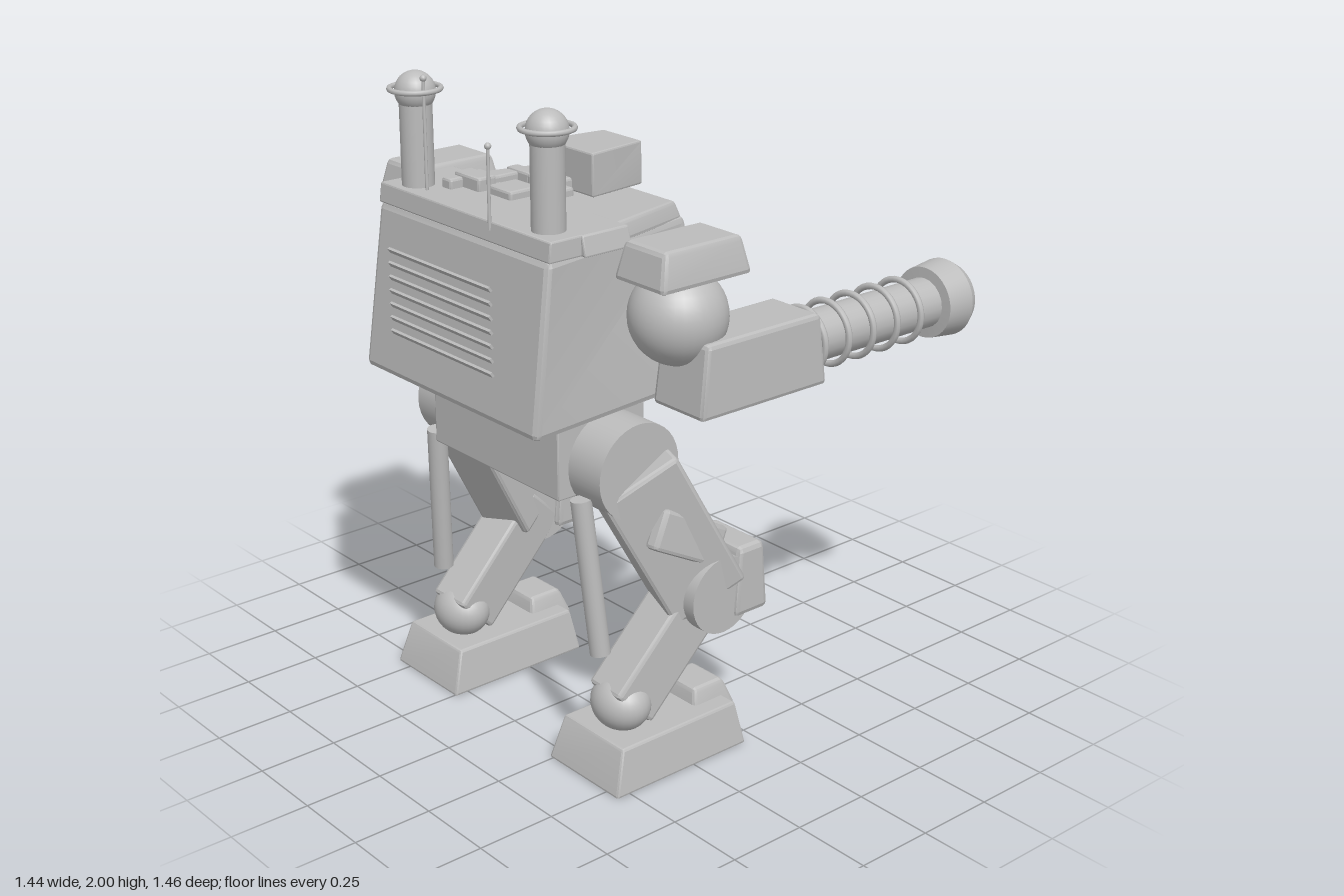
import * as THREE from 'three';
import { toCreasedNormals } from 'three/addons/utils/BufferGeometryUtils.js';
import { RoundedBoxGeometry } from 'three/addons/geometries/RoundedBoxGeometry.js';

const grey = new THREE.MeshStandardMaterial({ color: 0xbcbcbc });
grey.name = 'plain grey';

export function createModel() {
  const root = new THREE.Group();
  root.name = 'walkerRobot';

  const add = (name, geo, x = 0, y = 0, z = 0) => {
    const m = new THREE.Mesh(geo, grey);
    m.name = name;
    m.position.set(x, y, z);
    root.add(m);
    return m;
  };

  // Bevelled block between two levels; each end is [half width back, half width front, z back, z front]
  const block = (name, cx, y0, y1, bot, top, bevel = 0.012) => {
    const w = 2 * Math.max(...bot.slice(0, 2)), h = y1 - y0, d = bot[3] - bot[2];
    const g = new RoundedBoxGeometry(w, h, d, 1, Math.min(bevel, h / 3, w / 3, d / 3));
    const p = g.attributes.position, mix = THREE.MathUtils.lerp;
    for (let i = 0; i < p.count; i++) {
      const u = p.getX(i) / w * 2, v = p.getY(i) / h + 0.5, t = p.getZ(i) / d + 0.5;
      const e = bot.map((b, k) => mix(b, top[k], v));
      p.setXYZ(i, cx + u * mix(e[0], e[1], t), mix(y0, y1, v), mix(e[2], e[3], t));
    }
    return add(name, toCreasedNormals(g, 0.3));
  };
  const cuboid = (name, x0, x1, y0, y1, z0, z1, bevel) => {
    const e = [(x1 - x0) / 2, (x1 - x0) / 2, z0, z1];
    return block(name, (x0 + x1) / 2, y0, y1, e, e, bevel);
  };

  // Part stretched along the line from a to b
  const between = (mesh, a, b) => {
    const A = new THREE.Vector3(...a), B = new THREE.Vector3(...b);
    mesh.position.copy(A).add(B).multiplyScalar(0.5);
    mesh.quaternion.setFromUnitVectors(new THREE.Vector3(0, 1, 0), B.sub(A).normalize());
  };
  const beam = (name, a, b, w, d) => {
    const len = new THREE.Vector3(...a).distanceTo(new THREE.Vector3(...b));
    between(add(name, toCreasedNormals(new RoundedBoxGeometry(w, len, d, 1, 0.012), 0.3)), a, b);
  };
  const rod = (name, a, b, r) => {
    const len = new THREE.Vector3(...a).distanceTo(new THREE.Vector3(...b));
    between(add(name, new THREE.CylinderGeometry(r, r, len, 20)), a, b);
  };

  // Torso with its roof slab, rear hatch and handle
  block('torso', 0, 1.11, 1.61, [0.345, 0.415, 0.01, 0.715], [0.295, 0.4, 0.075, 0.65], 0.02);
  block('roofSlab', 0, 1.605, 1.665, [0.42, 0.42, 0.375, 0.54], [0.405, 0.405, 0.378, 0.54], 0.005);
  block('roofFront', 0, 1.605, 1.665, [0.402, 0.402, 0.5, 0.65], [0.4, 0.4, 0.5, 0.643], 0.005);
  block('roofRear', 0, 1.6, 1.655, [0.29, 0.37, 0.08, 0.4], [0.28, 0.355, 0.1, 0.4], 0.01);
  const hatch = block('rearHatch', 0, 1.11, 1.42, [0.255, 0.32, -0.118, 0.1], [0.235, 0.29, -0.075, 0.1], 0.025);
  hatch.name = 'rearHatch';
  const handle = add('rearHandle', toCreasedNormals(new RoundedBoxGeometry(0.33, 0.085, 0.025, 1, 0.008), 0.3), -0.005, 1.515, 0.03);
  handle.rotation.x = 0.42;

  // Front vent slats
  for (let i = 0; i < 7; i++) {
    const slat = add('ventSlat', new THREE.BoxGeometry(0.48, 0.016, 0.008), -0.005, 1.51 - i * 0.041, 0.724);
    slat.rotation.x = 0.6;
  }

  // Sensor box on the roof, with a slit lens behind
  block('sensorBox', -0.003, 1.655, 1.785, [0.088, 0.115, 0.055, 0.262], [0.085, 0.113, 0.055, 0.262], 0.006);
  cuboid('sensorLens', -0.06, 0.06, 1.725, 1.745, 0.048, 0.06, 0.002);

  // Roof fittings: x from, x to, z from, z to, top
  [
    [-0.23, -0.12, 0.27, 0.315, 1.69], [-0.22, -0.17, 0.31, 0.395, 1.685],
    [-0.275, -0.17, 0.375, 0.44, 1.685], [-0.24, -0.12, 0.43, 0.495, 1.705],
    [-0.24, -0.195, 0.49, 0.54, 1.695], [-0.11, 0.015, 0.25, 0.33, 1.695],
    [-0.05, 0.055, 0.285, 0.335, 1.68], [-0.1, 0.01, 0.375, 0.48, 1.69],
  ].forEach(([x0, x1, z0, z1, top]) => cuboid('roofFitting', x0, x1, 1.64, top, z0, z1, 0.008));

  // Antennas
  [[-0.238, 0.592, 1.99], [0.133, 0.645, 1.875]].forEach(([x, z, top]) => {
    rod('antenna', [x, 1.64, z], [x, top, z], 0.005);
    add('antennaTip', new THREE.SphereGeometry(0.01, 12, 8), x, top, z);
  });

  // Pelvis
  cuboid('pelvis', -0.3, 0.3, 0.855, 1.085, 0.232, 0.55, 0.005);

  for (const s of [-1, 1]) {
    // Chimney with collar and dome
    const cx = s * 0.305;
    rod('chimney', [cx, 1.62, 0.575], [cx, 1.945, 0.575], 0.048);
    add('chimneyDome', new THREE.SphereGeometry(0.06, 24, 16), cx, 1.94, 0.575);
    add('chimneyRing', new THREE.TorusGeometry(0.074, 0.008, 8, 32).rotateX(Math.PI / 2), cx, 1.948, 0.575);

    // Shoulder ball and pad
    add('shoulderBall', new THREE.SphereGeometry(0.141, 32, 20), s * 0.545, 1.43, 0.32);
    block('shoulderPad', s * 0.562, 1.543, 1.655, [0.105, 0.105, 0.155, 0.48], [0.084, 0.084, 0.18, 0.455], 0.015);

    // Hip drum and thigh
    const drum = (name, r, w, x, y, z) =>
      add(name, new THREE.CylinderGeometry(r, r, w, 36).rotateZ(Math.PI / 2), s * x, y, z);
    drum('hipDrum', 0.146, 0.16, 0.36, 0.943, 0.368);
    beam('thigh', [s * 0.385, 0.93, 0.36], [s * 0.425, 0.49, 0.12], 0.17, 0.255);

    // Angled guard beside the thigh
    const guard = add('thighGuard', toCreasedNormals(new RoundedBoxGeometry(0.05, 0.125, 0.27, 1, 0.012), 0.3), s * 0.478, 0.71, 0.22);
    guard.rotation.set(-0.49, 0, s * 0.1);

    // Knee drum and cap
    drum('kneeDrum', 0.121, 0.19, 0.428, 0.505, 0.112);
    block('kneeCap', s * 0.422, 0.418, 0.64, [0.113, 0.113, -0.06, 0.075], [0.108, 0.108, -0.042, 0.055], 0.018);

    // Shin, ankle and piston
    beam('shin', [s * 0.405, 0.51, 0.105], [s * 0.395, 0.2, 0.405], 0.15, 0.17);
    add('ankleBall', new THREE.SphereGeometry(0.085, 28, 18), s * 0.398, 0.205, 0.405).scale.x = 1.16;
    rod('piston', [s * 0.35, 0.87, 0.51], [s * 0.39, 0.385, 0.475], 0.031);

    // Foot and toe cap
    block('foot', s * 0.398, 0, 0.14, [0.16, 0.16, 0.045, 0.552], [0.136, 0.136, 0.07, 0.51], 0.008);
    block('toeCap', s * 0.398, 0.095, 0.19, [0.09, 0.09, 0.02, 0.19], [0.07, 0.07, 0.06, 0.175], 0.015);
  }

  // Cannon arm on the left
  const armX = 0.6, armY = 1.277;
  block('cannonHousing', armX, 1.17, 1.385, [0.105, 0.105, -0.105, 0.37], [0.098, 0.098, -0.08, 0.345], 0.014);
  rod('cannonBarrel', [armX, armY, 0], [armX, armY, -0.64], 0.077);
  for (const z of [-0.105, -0.2, -0.3, -0.4, -0.5]) {
    add('barrelRing', new THREE.TorusGeometry(0.094, 0.01, 8, 36), armX, armY, z);
  }
  const muzzle = [[0.07, 0.61], [0.109, 0.612], [0.119, 0.7], [0.1, 0.732], [0.06, 0.732], [0.052, 0.66], [0, 0.66]]
    .map(([r, h]) => new THREE.Vector2(r, h));
  add('cannonMuzzle', toCreasedNormals(new THREE.LatheGeometry(muzzle, 36), 0.35).rotateX(-Math.PI / 2), armX, armY, 0);

  // Launcher arm on the right
  block('launcherBox', -0.61, 1.155, 1.385, [0.113, 0.113, -0.03, 0.382], [0.102, 0.102, -0.02, 0.36], 0.014);
  for (const x of [-0.667, -0.555]) for (const y of [1.22, 1.325]) {
    rod('launcherTube', [x, y, 0], [x, y, -0.043], 0.031);
  }

  return root;
}
